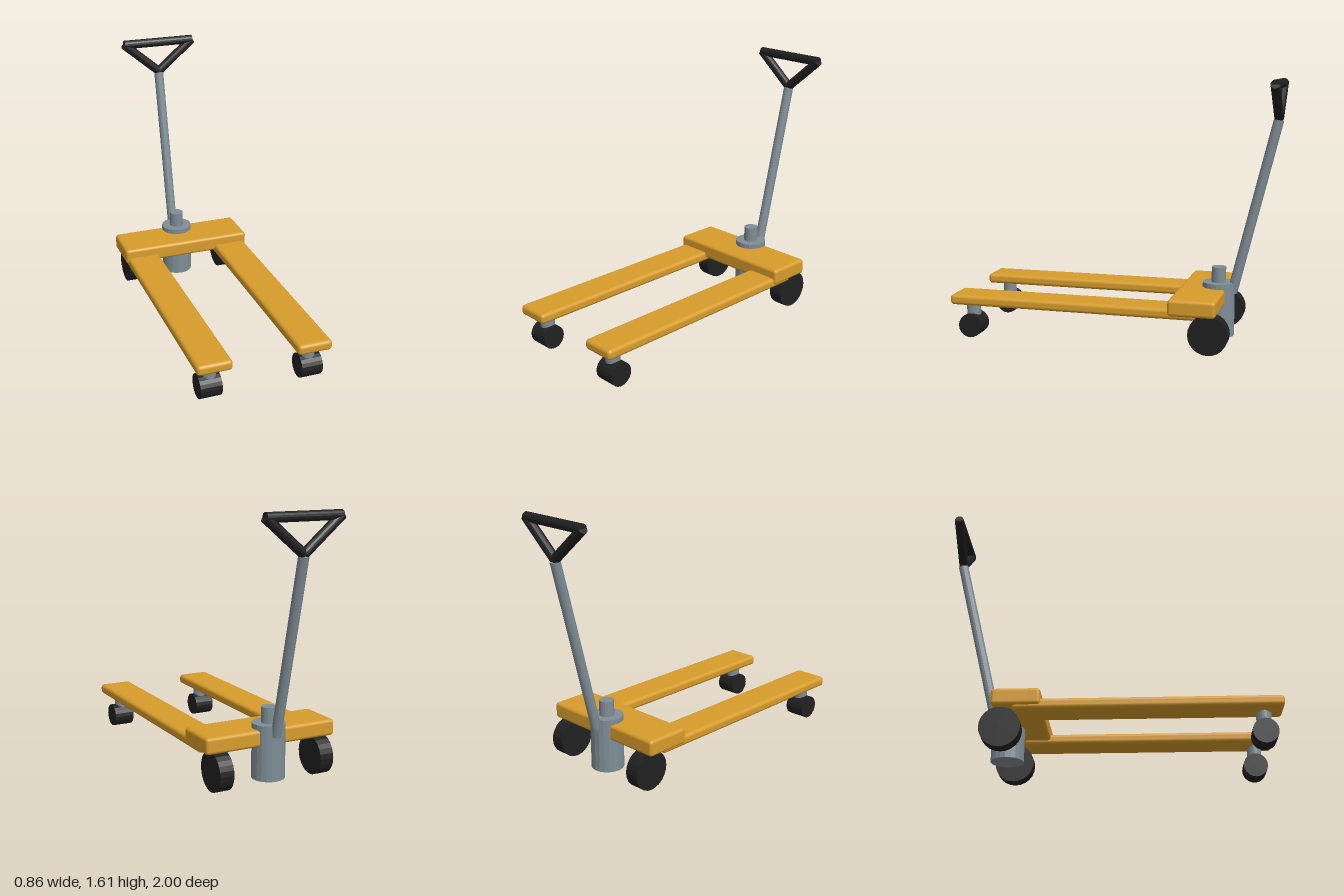
import * as THREE from 'three';
import { RoundedBoxGeometry } from 'three/addons/geometries/RoundedBoxGeometry.js';

export function createModel() {
  const group = new THREE.Group();
  const material = (name, color) => {
    const m = new THREE.MeshStandardMaterial({ color });
    m.name = name;
    return m;
  };
  const yellow = material('yellow paint', 0xd79c2b);
  const steel = material('grey steel', 0x7f8d96);
  const black = material('black rubber', 0x212121);
  steel.flatShading = black.flatShading = true;

  const add = (name, geometry, mat) => {
    const mesh = new THREE.Mesh(geometry, mat);
    mesh.name = name;
    group.add(mesh);
    return mesh;
  };
  // Rounded box given by its minimum and maximum corners
  const box = (name, min, max, r) => {
    const [w, h, d] = max.map((v, i) => v - min[i]);
    add(name, new RoundedBoxGeometry(w, h, d, 3, r), yellow)
      .position.set(...max.map((v, i) => (v + min[i]) / 2));
  };
  // Cylinder running between two points
  const rod = (name, from, to, r, mat, sides = 20) => {
    const a = new THREE.Vector3(...from), b = new THREE.Vector3(...to);
    const dir = b.clone().sub(a);
    const mesh = add(name, new THREE.CylinderGeometry(r, r, dir.length(), sides), mat);
    mesh.position.copy(a).add(b).multiplyScalar(0.5);
    mesh.quaternion.setFromUnitVectors(new THREE.Vector3(0, 1, 0), dir.normalize());
  };

  // Chassis and hydraulic pump
  box('chassis', [-0.43, 0.235, -0.67], [0.43, 0.335, -0.385], 0.02);
  rod('pumpBody', [0, 0.03, -0.62], [0, 0.365, -0.62], 0.1, steel);
  rod('pumpPiston', [0, 0.36, -0.62], [0, 0.46, -0.62], 0.045, steel);

  // Forks, casters and rear wheels, mirrored
  for (const s of [-1, 1]) {
    const side = s > 0 ? 'left' : 'right';
    const x = 0.308 * s;
    box(side + 'Fork', [x - 0.108, 0.212, -0.55], [x + 0.108, 0.276, 1], 0.022);
    rod(side + 'CasterPin', [x, 0.18, 0.885], [x, 0.23, 0.885], 0.028, steel);
    rod(side + 'CasterStem', [x, 0.09, 0.885], [x, 0.198, 0.885], 0.044, steel);
    rod(side + 'CasterWheel', [0.248 * s, 0.074, 0.885], [0.38 * s, 0.074, 0.885], 0.074, black);
    rod(side + 'RearWheel', [0.29 * s, 0.12, -0.618], [0.38 * s, 0.12, -0.618], 0.12, black, 24);
    // Handle diagonal
    rod(side + 'HandleBrace', [0, 1.38, -0.967], [0.24 * s, 1.583, -0.967], 0.029, black, 16);
  }

  // Leaning tiller and grip bar
  rod('tiller', [0, 0.303, -0.705], [0, 1.37, -0.967], 0.031, steel, 16);
  rod('gripBar', [-0.24, 1.583, -0.967], [0.24, 1.583, -0.967], 0.029, black, 16);
  return group;
}
